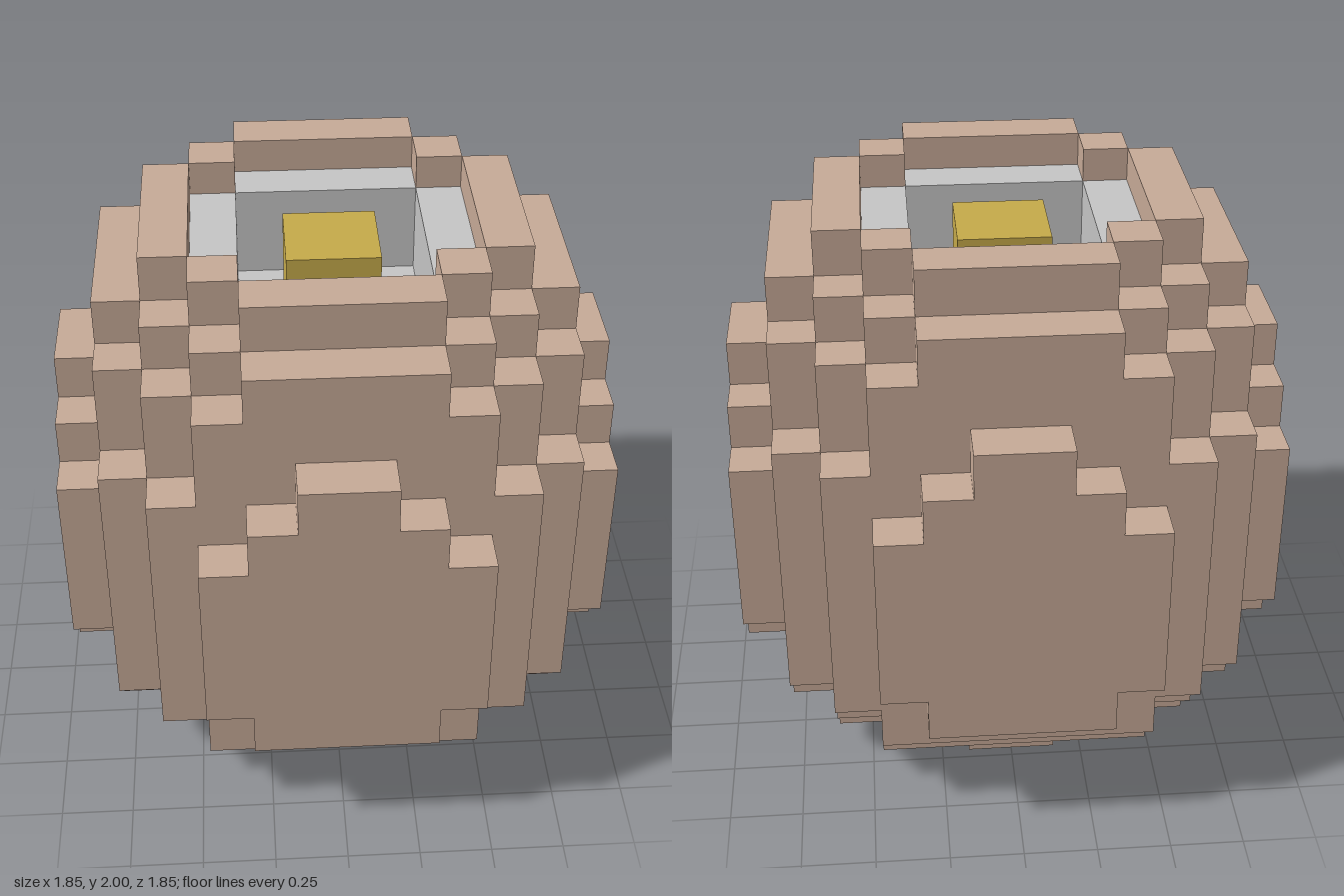
import * as THREE from 'three';

// One block step; the model is 13 steps tall.
const U = 2 / 13;

// Symmetric stepped outline from [x, z] outer corners of one quarter, ordered by falling x.
function outline(corners) {
  const quarter = [];
  corners.forEach(([x, z], i) => {
    if (i > 0) quarter.push([x, corners[i - 1][1]]);
    quarter.push([x, z]);
  });
  const mirrored = [...quarter].reverse();
  return [
    ...quarter,
    ...mirrored.map(([x, z]) => [-x, z]),
    ...quarter.map(([x, z]) => [-x, -z]),
    ...mirrored.map(([x, z]) => [x, -z]),
  ].map(([x, z]) => new THREE.Vector2(x * U, z * U));
}

// Flat slab between two heights, with an optional stepped hole.
function slab(name, material, y0, y1, corners, hole) {
  const shape = new THREE.Shape(outline(corners));
  if (hole) shape.holes.push(new THREE.Path(outline(hole)));
  const geometry = new THREE.ExtrudeGeometry(shape, { depth: (y1 - y0) * U, bevelEnabled: false });
  geometry.rotateX(-Math.PI / 2);
  geometry.translate(0, y0 * U, 0);
  const mesh = new THREE.Mesh(geometry, material);
  mesh.name = name;
  return mesh;
}

export function createModel() {
  const shellTan = new THREE.MeshStandardMaterial({ color: 0xc9ac99 });
  shellTan.name = 'shell tan';
  const liningGrey = new THREE.MeshStandardMaterial({ color: 0xc8c8c8 });
  liningGrey.name = 'lining grey';
  const coreGold = new THREE.MeshStandardMaterial({ color: 0xc8ac4b });
  coreGold.name = 'core gold';

  const model = new THREE.Group();
  model.name = 'blockEgg';

  // Shell, stacked from stepped slabs; the upper ones are open in the middle
  const shell = new THREE.Group();
  shell.name = 'shell';
  const opening = [[3, 2], [2, 3]];
  const round = [[5, 3], [4, 4], [3, 5]];
  const layers = [
    [0, 1, [[3, 1], [2, 2], [1, 3]]],
    [1, 2, [[4, 3], [3, 4]]],
    [2, 3, round],
    [3, 9, [[5, 4], [4, 5]]],
    [9, 10, round],
    [10, 11, round, opening],
    [11, 12, [[5, 2], [4, 3], [3, 4], [2, 5]], opening],
    [12, 13, [[4, 2], [3, 3], [2, 4]], opening],
  ];
  layers.forEach(([y0, y1, corners, hole], i) =>
    shell.add(slab(`shellLayer${i + 1}`, shellTan, y0, y1, corners, hole)));
  model.add(shell);

  // Raised panel on each of the four sides
  const panelShape = new THREE.Shape([
    [2, 3], [2, 4], [3, 4], [3, 8], [2, 8], [2, 9], [1, 9], [1, 10],
    [-1, 10], [-1, 9], [-2, 9], [-2, 8], [-3, 8], [-3, 4], [-2, 4], [-2, 3],
  ].map(([x, y]) => new THREE.Vector2(x * U, y * U)));
  const panelGeometry = new THREE.ExtrudeGeometry(panelShape, { depth: U, bevelEnabled: false });
  panelGeometry.translate(0, 0, 5 * U);
  ['front', 'left', 'back', 'right'].forEach((side, i) => {
    const panel = new THREE.Mesh(panelGeometry, shellTan);
    panel.name = `${side}Panel`;
    panel.rotation.y = i * Math.PI / 2;
    model.add(panel);
  });

  // Grey lining with a square recess, and the gold core standing in it
  model.add(slab('liningRim', liningGrey, 10, 12.25, opening, [[2, 2]]));
  model.add(slab('liningFloor', liningGrey, 10, 10.25, [[2, 2]]));
  model.add(slab('core', coreGold, 10.25, 12.25, [[1, 1]]));

  return model;
}
